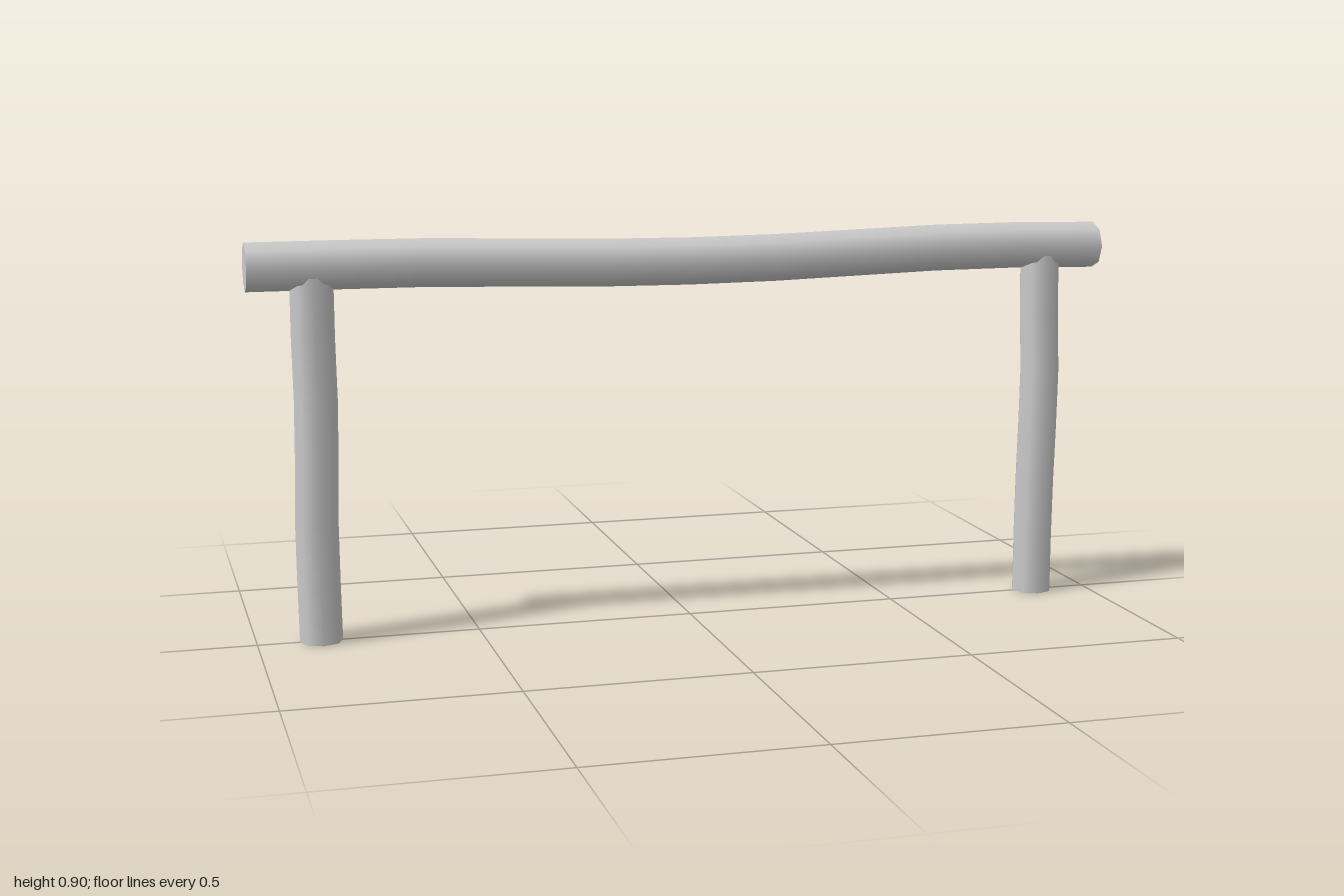
import * as THREE from 'three';

const material = new THREE.MeshStandardMaterial({ color: 0xcccccc, side: THREE.DoubleSide });

// Eight-sided log along y from 0 to length; centres lists [x, z] of evenly spaced rings
function bentLog(name, radius, length, centres, open) {
  const rows = centres.length - 1;
  const geometry = new THREE.CylinderGeometry(radius, radius, length, 8, rows, open);
  geometry.translate(0, length / 2, 0);
  const p = geometry.attributes.position;
  for (let i = 0; i < p.count; i++) {
    const [dx, dz] = centres[Math.round((p.getY(i) / length) * rows)];
    p.setX(i, p.getX(i) + dx);
    p.setZ(i, p.getZ(i) + dz);
  }
  const mesh = new THREE.Mesh(geometry, material);
  mesh.name = name;
  return mesh;
}

export function createModel() {
  const group = new THREE.Group();
  group.name = 'hitchingRail';

  // Sagging top rail with closed ends
  const heights = [0.844, 0.844, 0.843, 0.837, 0.831, 0.829, 0.831, 0.837, 0.843, 0.844, 0.84];
  const rail = bentLog('topRail', 0.054, 2, heights.map((y) => [-y, 0]), false);
  rail.geometry.rotateZ(-Math.PI / 2).translate(-1, 0, 0);
  group.add(rail);

  // Slightly crooked posts, open at the ends and sunk into the rail
  const posts = {
    rightPost: [[-0.858, 0], [-0.86, 0.001], [-0.861, 0.002], [-0.857, 0.003], [-0.855, 0.002], [-0.857, 0], [-0.857, 0]],
    leftPost: [[0.865, 0], [0.865, 0], [0.866, 0.001], [0.869, 0.002], [0.871, 0.002], [0.866, 0], [0.864, 0]],
  };
  for (const [name, centres] of Object.entries(posts)) {
    group.add(bentLog(name, 0.048, 0.82, centres, true));
  }
  return group;
}
